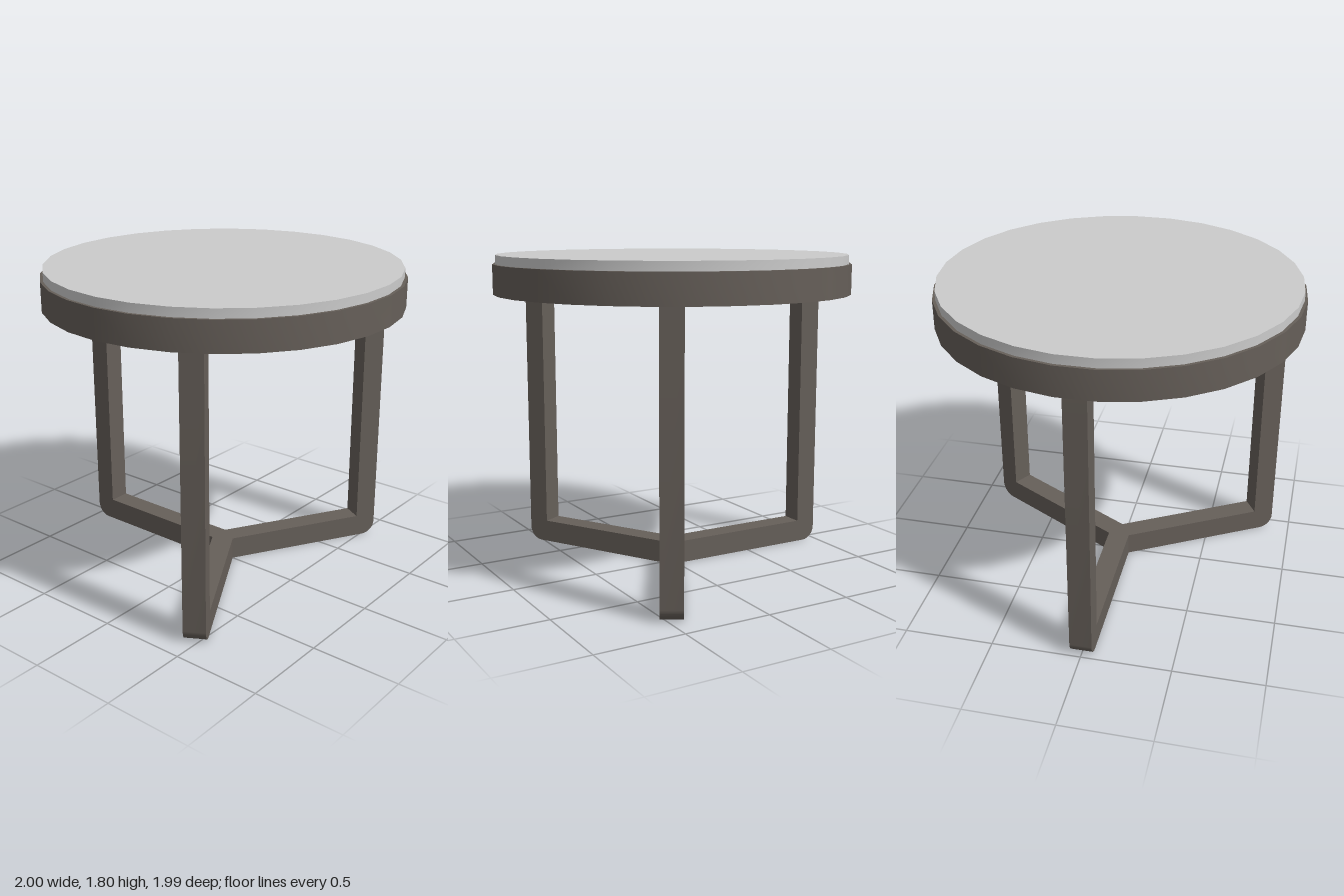
import * as THREE from 'three';
import { toCreasedNormals } from 'three/addons/utils/BufferGeometryUtils.js';

const SIDES = 30;
const START = Math.PI / SIDES; // puts corners on the x axis and flats over the legs
const RING_BOTTOM = 1.585, RING_TOP = 1.75, TOP = 1.8;
const BAR = 0.123, LEG_REACH = 0.994;

export function createModel() {
  const model = new THREE.Group();
  model.name = 'sideTable';
  const frameMaterial = new THREE.MeshStandardMaterial({ color: 0x665f59 });
  const topMaterial = new THREE.MeshStandardMaterial({ color: 0xcccccc });

  const add = (name, geometry, material) => {
    const mesh = new THREE.Mesh(toCreasedNormals(geometry, 0.6), material);
    mesh.name = name;
    model.add(mesh);
    return mesh;
  };

  // Round top panel
  const panel = new THREE.CylinderGeometry(0.983, 0.983, TOP - RING_TOP, SIDES, 1, false, START);
  panel.translate(0, (TOP + RING_TOP) / 2, 0);
  add('tableTop', panel, topMaterial);

  // Hollow apron ring under the top
  const profile = [
    [1, RING_BOTTOM], [1, RING_TOP], [0.83, RING_TOP], [0.83, RING_BOTTOM], [1, RING_BOTTOM],
  ].map(([r, y]) => new THREE.Vector2(r, y));
  add('apronRing', new THREE.LatheGeometry(profile, SIDES, START), frameMaterial);

  // L-shaped leg: floor bar from the centre, rounded heel, upright to the ring
  const heel = 0.08, barTop = 0.13;
  const shape = new THREE.Shape();
  shape.moveTo(0, 0);
  shape.lineTo(LEG_REACH - heel, 0);
  shape.absarc(LEG_REACH - heel, heel, heel, -Math.PI / 2, 0, false);
  shape.lineTo(LEG_REACH, RING_BOTTOM);
  shape.lineTo(LEG_REACH - BAR, RING_BOTTOM);
  shape.lineTo(LEG_REACH - BAR, barTop);
  shape.lineTo(0, barTop);
  const leg = new THREE.ExtrudeGeometry(shape, { depth: BAR, bevelEnabled: false, curveSegments: 8 });
  leg.translate(0, 0, -BAR / 2);

  // Three legs, one straight back and two towards the front
  [['backLeg', 90], ['frontRightLeg', 210], ['frontLeftLeg', 330]].forEach(([name, angle]) => {
    add(name, leg, frameMaterial).rotation.y = THREE.MathUtils.degToRad(angle);
  });

  return model;
}
